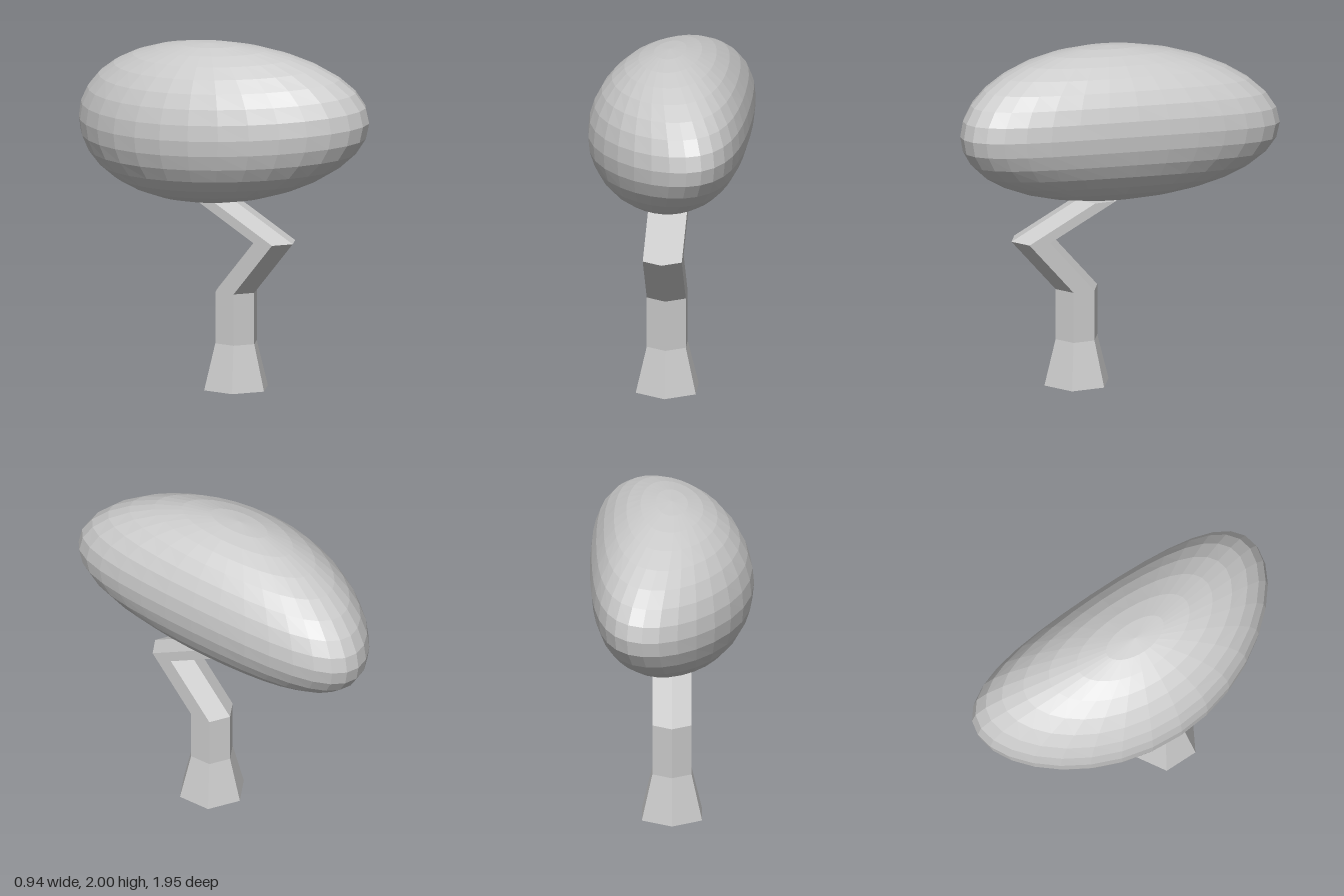
import * as THREE from 'three';

const material = new THREE.MeshStandardMaterial({ color: 0xcccccc, flatShading: true });

// Moves every vertex of a geometry by a rule
function reshape(geometry, rule) {
  const position = geometry.attributes.position;
  const v = new THREE.Vector3();
  for (let i = 0; i < position.count; i++) {
    v.fromBufferAttribute(position, i);
    rule(v);
    position.setXYZ(i, v.x, v.y, v.z);
  }
  geometry.computeVertexNormals();
  return geometry;
}

// Six-sided trunk: horizontal rings of [height, radius, z centre]
function makeTrunk() {
  const rings = [
    [0, 0.2, 0.2],
    [0.27, 0.13, 0.2],
    [0.57, 0.13, 0.2],
    [0.885, 0.13, 0.475],
    [1.09, 0.13, 0.065],
  ];
  const rows = rings.length - 1;
  const geometry = new THREE.CylinderGeometry(1, 1, rows, 6, rows);
  reshape(geometry, (v) => {
    const [y, radius, z] = rings[Math.round(v.y + rows / 2)];
    v.set(v.x * radius, y, v.z * radius + z);
  });
  const mesh = new THREE.Mesh(geometry, material);
  mesh.name = 'trunk';
  return mesh;
}

// Crown: a long ellipsoid, tilted slightly and bent towards +x at both ends
function makeCrown() {
  const geometry = new THREE.SphereGeometry(1, 32, 16);
  reshape(geometry, (v) => {
    const x = v.x * 0.472;
    const z = v.z * 0.977;
    const y = 1.535 + v.y * 0.462 + 0.08 * x + 0.05 * z;
    v.set(x + 0.185 * z * z, y, z);
  });
  const mesh = new THREE.Mesh(geometry, material);
  mesh.name = 'crown';
  return mesh;
}

export function createModel() {
  const tree = new THREE.Group();
  tree.name = 'tree';
  tree.add(makeTrunk(), makeCrown());
  return tree;
}
